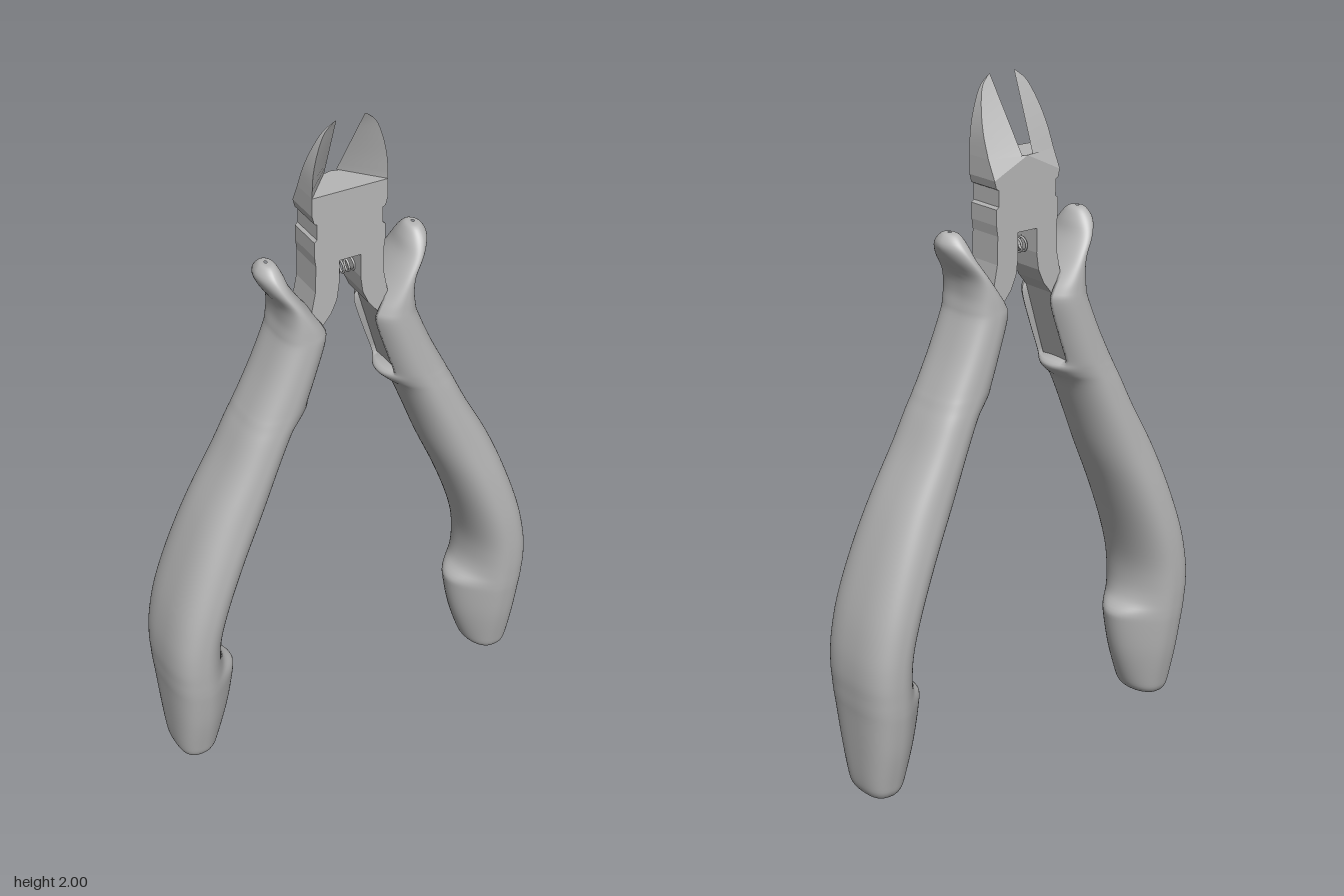
import * as THREE from 'three';
import { toCreasedNormals } from 'three/addons/utils/BufferGeometryUtils.js';

const steel = new THREE.MeshStandardMaterial({ color: 0xb6b6b6 });
steel.name = 'plain grey';
const T = 0.055; // half thickness of the metal parts
const CHAMFER = -0.028; // z of the head's trimmed back corner
const { smoothstep, lerp } = THREE.MathUtils;

// Grip stations from horn tip to heel: y, inner x, outer x, half depth, inner bump
const GRIP = [
  [1.603, 0.222, 0.23, 0.006, 0], [1.598, 0.203, 0.247, 0.032, 0], [1.57, 0.187, 0.26, 0.06, 0],
  [1.53, 0.172, 0.243, 0.081, 0], [1.48, 0.14, 0.21, 0.094, 0], [1.43, 0.103, 0.201, 0.101, 0],
  [1.39, 0.074, 0.206, 0.104, 0], [1.355, 0.066, 0.215, 0.106, 0], [1.26, 0.094, 0.255, 0.108, 0],
  [1.175, 0.122, 0.297, 0.11, 0], [1.148, 0.136, 0.311, 0.111, 0.02], [1.125, 0.15, 0.322, 0.112, 0.014],
  [1.09, 0.172, 0.34, 0.114, 0], [1.0, 0.212, 0.384, 0.119, 0], [0.86, 0.268, 0.46, 0.128, 0],
  [0.72, 0.332, 0.52, 0.139, 0], [0.58, 0.388, 0.568, 0.146, 0], [0.47, 0.42, 0.592, 0.146, 0],
  [0.39, 0.428, 0.599, 0.143, 0.004], [0.335, 0.427, 0.597, 0.139, 0.018], [0.3, 0.425, 0.595, 0.136, 0.05],
  [0.26, 0.424, 0.591, 0.131, 0.049], [0.16, 0.427, 0.583, 0.115, 0.032], [0.06, 0.438, 0.574, 0.092, 0.01],
  [0.02, 0.45, 0.565, 0.08, 0.002], [0.003, 0.475, 0.548, 0.058, 0], [0, 0.51, 0.513, 0.002, 0],
];

// Smooth lofted grip with a slot on the inner face for the arm
function gripGeometry() {
  const curve = f => new THREE.CatmullRomCurve3(GRIP.map(f), false, 'catmullrom', 0.5);
  const edges = curve(g => new THREE.Vector3(g[0], g[1], g[2]));
  const extras = curve(g => new THREE.Vector3(g[3], g[4], 0));
  const rows = (GRIP.length - 1) * 4, n = 64, pos = [], idx = [];
  for (let i = 0; i <= rows; i++) {
    const e = edges.getPoint(i / rows), { x: h, y: bump } = extras.getPoint(i / rows);
    const y = Math.max(0, e.x), mid = (e.y + e.z) / 2, w = (e.z - e.y) / 2;
    const slot = smoothstep(y, 1.16, 1.178) * (1 - smoothstep(y, 1.38, 1.44));
    const horn = smoothstep(y, 1.4, 1.54);
    for (let j = 0; j < n; j++) {
      const a = (j / n) * Math.PI * 2, c = Math.cos(a), s = Math.sin(a);
      const p = c > 0 ? lerp(0.7, 1.15, horn) : 0.95;
      let x = mid + w * Math.sign(c) * Math.abs(c) ** p;
      const z = h * Math.sign(s) * Math.abs(s) ** p;
      if (c < 0) {
        x -= bump * c ** 4;
        if (Math.abs(z) < T) x += 0.035 * slot;
      }
      pos.push(x, y, z);
      if (i < rows) {
        const k = (j + 1) % n, A = i * n + j, B = i * n + k;
        idx.push(A, B, A + n, B, B + n, A + n);
      }
    }
  }
  const g = new THREE.BufferGeometry();
  g.setAttribute('position', new THREE.Float32BufferAttribute(pos, 3));
  g.setIndex(idx);
  g.computeVertexNormals();
  return g;
}

// Jaw with a triangular section: sloped back, hollowed front, curved outer side
function jawGeometry() {
  const outer = new THREE.CatmullRomCurve3([[0.114, 1.79], [0.11, 1.86], [0.094, 1.93], [0.074, 1.975], [0.046, 2]]
    .map(([x, y]) => new THREE.Vector3(x, y, 0)));
  const steps = 12, rings = [], pos = [];
  const tri = (a, b, c) => pos.push(...a, ...b, ...c);
  for (let i = 0; i <= steps; i++) {
    const o = outer.getPoint(i / steps), t = (o.y - 1.79) / 0.21;
    rings.push([[0.018 + 0.024 * t, o.y, lerp(-T, T, t)], [o.x, o.y, T], [o.x, o.y, lerp(CHAMFER, T, t)]]);
  }
  for (let i = 0; i < steps; i++) {
    const a = rings[i], b = rings[i + 1];
    for (let k = 0; k < 3; k++) {
      const m = (k + 1) % 3;
      tri(a[k], b[m], b[k]);
      tri(a[k], a[m], b[m]);
    }
  }
  tri(rings[0][0], rings[0][2], rings[0][1]);
  const g = new THREE.BufferGeometry();
  g.setAttribute('position', new THREE.Float32BufferAttribute(pos, 3));
  return toCreasedNormals(g, 0.55);
}

// Top of the head under the jaw, its back outer corner trimmed to the jaw's slope
function shoulderGeometry() {
  const g = new THREE.BoxGeometry(0.114, 0.055, 2 * T).translate(0.057, 1.7625, 0).toNonIndexed();
  const p = g.attributes.position;
  for (let i = 0; i < p.count; i++) {
    if (p.getX(i) > 0.1 && p.getY(i) > 1.78 && p.getZ(i) < 0) p.setZ(i, CHAMFER);
  }
  g.computeVertexNormals();
  return g;
}

// Flat steel plate cut from an outline
function plateGeometry(points) {
  const shape = new THREE.Shape(points.map(([x, y]) => new THREE.Vector2(x, y)));
  return new THREE.ExtrudeGeometry(shape, { depth: 2 * T, bevelEnabled: false }).translate(0, 0, -T);
}

export function createModel() {
  const model = new THREE.Group();
  model.name = 'sideCutters';
  const add = (parent, name, geometry) => {
    const mesh = new THREE.Mesh(geometry, steel);
    mesh.name = name;
    parent.add(mesh);
  };

  // Half of the head with its notched edge, running down into the arm
  const half = plateGeometry([
    [0, 1.735], [0.114, 1.735], [0.108, 1.712], [0.1, 1.708], [0.1, 1.662],
    [0.108, 1.655], [0.108, 1.61], [0.104, 1.58], [0.106, 1.5], [0.12, 1.43], [0.21, 1.15],
    [0.15, 1.165], [0.086, 1.385], [0.058, 1.42], [0.04, 1.46], [0.033, 1.51], [0.033, 1.58], [0, 1.58],
  ]);
  const shoulder = shoulderGeometry(), jaw = jawGeometry(), grip = gripGeometry();
  for (const side of [1, -1]) {
    const g = new THREE.Group();
    g.name = side > 0 ? 'leftHalf' : 'rightHalf';
    g.scale.x = side;
    add(g, 'headAndArm', half);
    add(g, 'shoulder', shoulder);
    add(g, 'jaw', jaw);
    add(g, 'grip', grip);
    model.add(g);
  }

  // Return spring between the arms
  const coil = [];
  for (let i = 0; i <= 64; i++) {
    const a = (i / 64) * Math.PI * 2 * 4.5;
    coil.push(new THREE.Vector3(-0.036 + 0.072 * i / 64, 1.527 + 0.021 * Math.cos(a), 0.021 * Math.sin(a)));
  }
  add(model, 'spring', new THREE.TubeGeometry(new THREE.CatmullRomCurve3(coil), 160, 0.0035, 6));
  return model;
}
